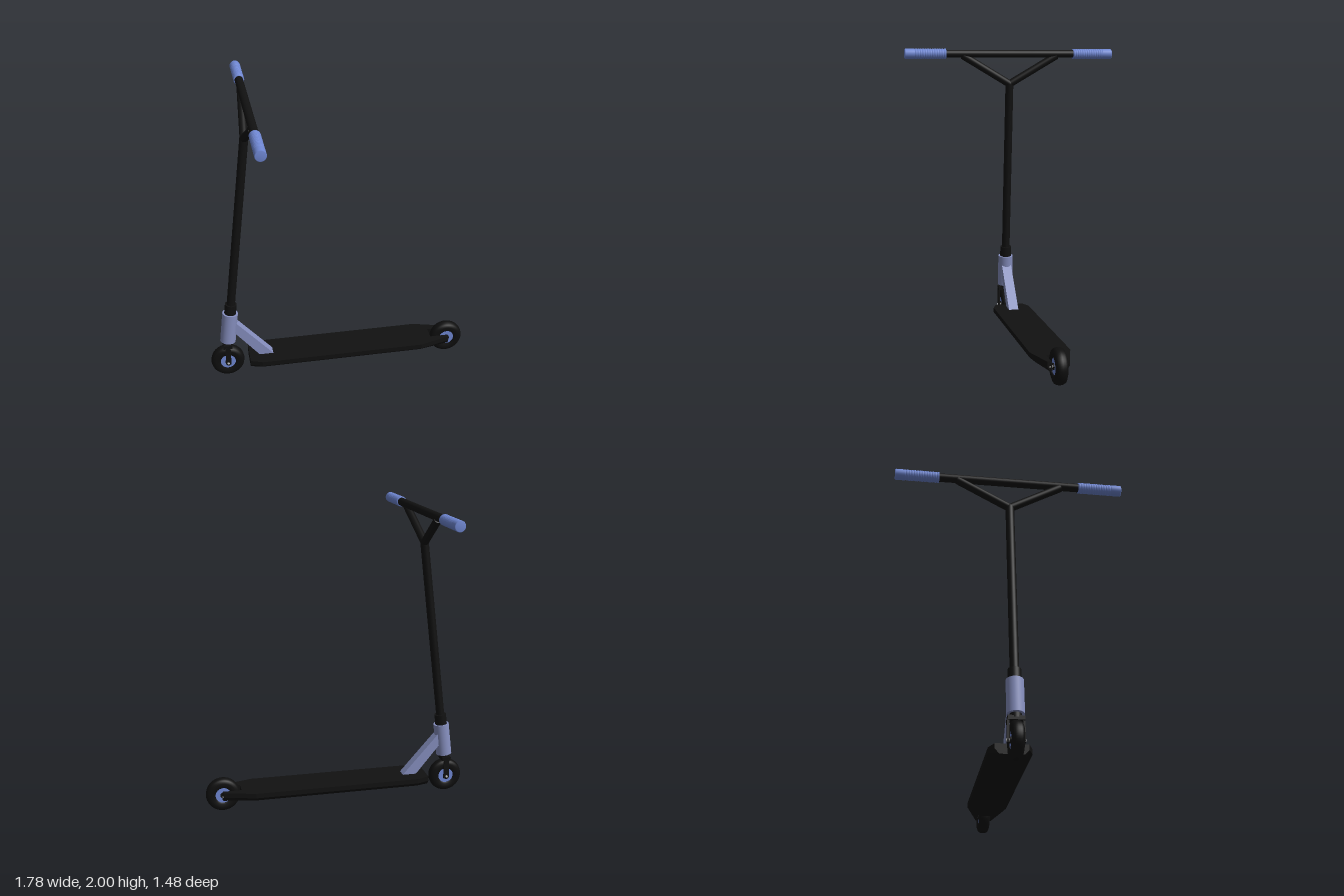
import * as THREE from 'three';

const mat = (name, color) => {
  const m = new THREE.MeshStandardMaterial({ color });
  m.name = name;
  return m;
};

export function createModel() {
  const black = mat('black', 0x111111);
  const rubber = mat('tyre black', 0x0e0e0e);
  const blue = mat('blue', 0x7088d4);
  const greyBlue = mat('grey blue', 0x8790c0);
  const silver = mat('silver', 0xd0d0d0);

  const root = new THREE.Group();
  root.name = 'kickScooter';
  const V = (x, y, z) => new THREE.Vector3(x, y, z);
  const add = (name, geo, material, parent = root) => {
    const m = new THREE.Mesh(geo, material);
    m.name = name;
    parent.add(m);
    return m;
  };
  // Round bar between two points
  const rod = (name, a, b, r, material, r2 = r) => {
    const d = b.clone().sub(a);
    const m = add(name, new THREE.CylinderGeometry(r2, r, d.length(), 28), material);
    m.position.copy(a).addScaledVector(d, 0.5);
    m.quaternion.setFromUnitVectors(V(0, 1, 0), d.normalize());
    return m;
  };
  const lathe = (pts, n) => new THREE.LatheGeometry(pts.map(p => new THREE.Vector2(...p)), n);
  // Point on the tilted steering axis at height y
  const steer = (y, z = 0) => V(-0.803 + 0.12 * y, y, z);

  // Deck: outline with tapered ends and a slot for the rear wheel
  const half = [[-0.63, 0.1], [-0.55, 0.13], [0.57, 0.13], [0.78, 0.07], [0.78, 0.045], [0.655, 0.045]];
  const outline = [...half, ...half.slice().reverse().map(([x, z]) => [x, -z])];
  const deckLayer = (name, y, h, chamfer) => {
    const shape = new THREE.Shape(outline.map(p => new THREE.Vector2(...p)));
    const geo = new THREE.ExtrudeGeometry(shape, { depth: h, bevelEnabled: false });
    geo.rotateX(-Math.PI / 2);
    // Pull the lower edge inward
    const p = geo.attributes.position;
    for (let i = 0; i < p.count; i++) {
      if (p.getY(i) < h / 2 && Math.abs(p.getZ(i)) > 0.06) p.setZ(i, p.getZ(i) * chamfer);
    }
    geo.computeVertexNormals();
    add(name, geo, black).position.y = y;
  };
  deckLayer('deckTop', 0.115, 0.032, 1);
  deckLayer('deckUnderside', 0.085, 0.03, 0.74);

  // Wheels: rounded tyre, recessed hub and axle
  const tyre = [[0.052, -0.03], [0.062, -0.036], [0.085, -0.038], [0.103, -0.031], [0.111, -0.018], [0.114, 0],
    [0.111, 0.018], [0.103, 0.031], [0.085, 0.038], [0.062, 0.036], [0.052, 0.03], [0.052, -0.03]];
  const wheel = (name, x) => {
    const g = new THREE.Group();
    g.name = name;
    g.position.set(x, 0.114, 0);
    g.rotation.x = Math.PI / 2;
    root.add(g);
    add('tyre', lathe(tyre, 48), rubber, g);
    add('hub', new THREE.CylinderGeometry(0.053, 0.053, 0.058, 36), blue, g);
    add('bearing', new THREE.CylinderGeometry(0.02, 0.02, 0.07, 20), black, g);
    add('axle', new THREE.CylinderGeometry(0.008, 0.008, 0.112, 12), silver, g);
  };
  wheel('frontWheel', -0.779);
  wheel('rearWheel', 0.776);

  // Rear dropouts holding the axle
  for (const s of [1, -1]) {
    add('rearDropout', new THREE.BoxGeometry(0.05, 0.05, 0.012), black).position.set(0.76, 0.115, s * 0.047);
  }

  // Fork: stem, crown and two legs
  rod('forkStem', steer(0.24), steer(0.29), 0.036, black);
  const crown = add('forkCrown', new THREE.BoxGeometry(0.06, 0.025, 0.1), black);
  crown.position.set(-0.776, 0.241, 0);
  for (const s of [1, -1]) {
    const leg = add('forkLeg', new THREE.BoxGeometry(0.036, 0.14, 0.012), black);
    leg.position.set(-0.777, 0.17, s * 0.046);
    const tip = add('forkTip', new THREE.CylinderGeometry(0.018, 0.018, 0.012, 20), black);
    tip.rotation.x = Math.PI / 2;
    tip.position.set(-0.778, 0.112, s * 0.046);
  }

  // Head tube and the strut down to the deck
  rod('headTube', steer(0.27), steer(0.49), 0.053, greyBlue);
  const strutShape = new THREE.Shape([[-0.74, 0.455], [-0.74, 0.365], [-0.555, 0.14], [-0.46, 0.14]]
    .map(p => new THREE.Vector2(...p)));
  const strut = new THREE.ExtrudeGeometry(strutShape, { depth: 0.068, bevelEnabled: false });
  add('neckStrut', strut.translate(0, 0, -0.034), greyBlue);

  // Clamp, steering bar and Y-shaped handlebar
  rod('clamp', steer(0.485), steer(0.56), 0.04, black);
  rod('steeringBar', steer(0.55), steer(1.755), 0.028, black);
  add('barJoint', new THREE.SphereGeometry(0.028, 24, 16), black).position.copy(steer(1.755));
  const top = 1.965;
  rod('crossbar', steer(top, -0.47), steer(top, 0.47), 0.027, black);
  for (const s of [1, -1]) {
    rod('barBranch', steer(1.755), steer(top - 0.012, s * 0.335), 0.026, black);
  }

  // Grips: ribbed sleeves with plain bands and a closed end
  const R = 0.035;
  const grip = [[0.026, 0], [R, 0], [R, 0.012]];
  for (let i = 0; i < 12; i++) {
    const y = 0.015 + i * 0.0165;
    grip.push([R - 0.003, y], [R - 0.003, y + 0.003], [R, y + 0.004], [R, y + 0.0145]);
  }
  grip.push([R - 0.003, 0.214], [R - 0.003, 0.217], [R, 0.218], [R, 0.28], [R - 0.004, 0.285], [0, 0.285]);
  for (const s of [1, -1]) {
    const m = add(s > 0 ? 'frontGrip' : 'backGrip', lathe(grip, 28), blue);
    m.rotation.x = s * Math.PI / 2;
    m.position.copy(steer(top, s * 0.455));
  }

  return root;
}
